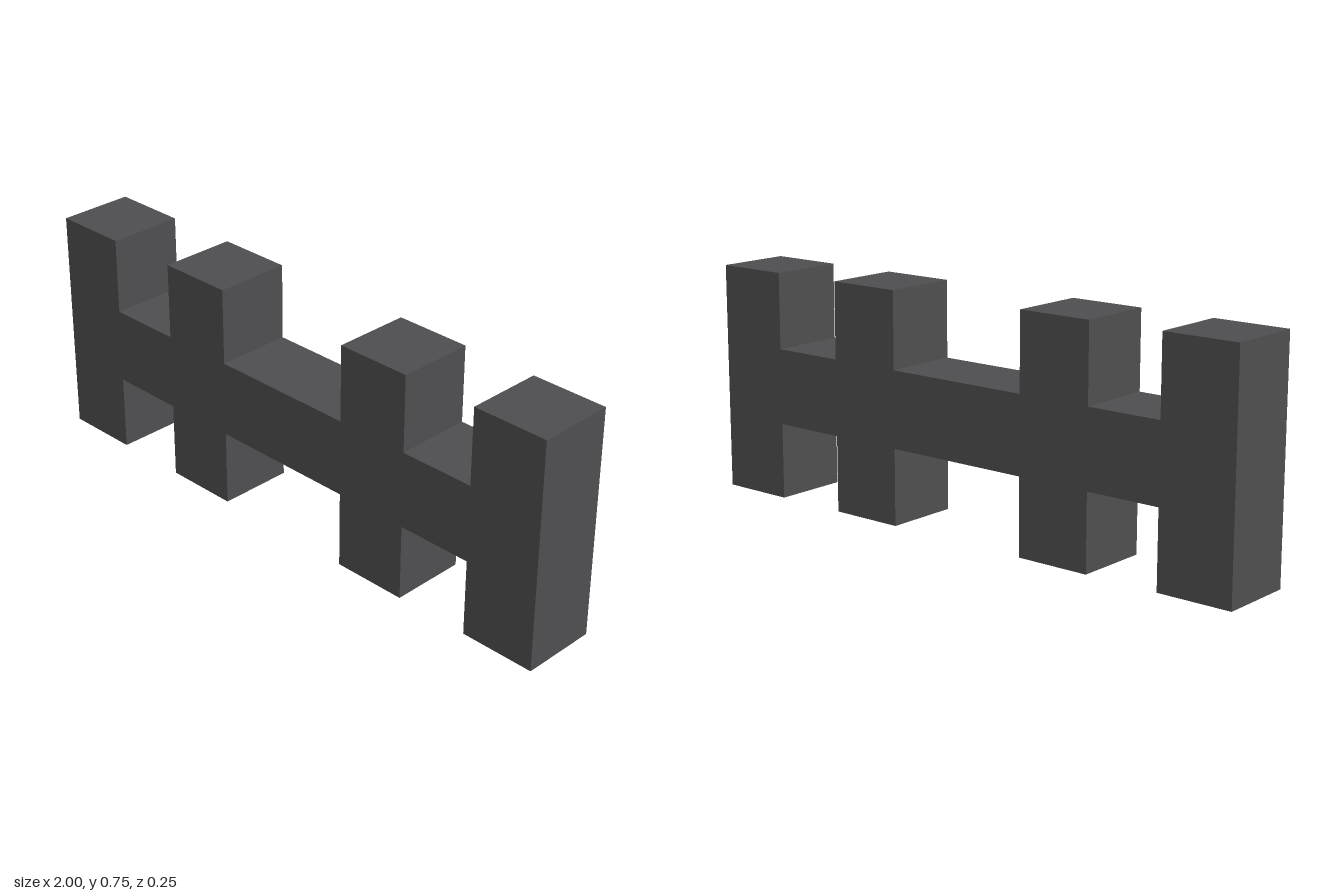
import * as THREE from 'three';

const HEIGHT = 0.75;        // full height of the posts
const BAR = [0.25, 0.5];    // bottom and top of the crossbar
const DEPTH = 0.25;
const POSTS = [[-1, -0.75], [-0.5, -0.25], [0.25, 0.5], [0.75, 1]]; // x ranges

// One continuous outline: along the underside, then back along the top
function barOutline() {
  const lower = [], upper = [];
  POSTS.forEach(([x0, x1], i) => {
    const first = i === 0, last = i === POSTS.length - 1;
    if (!first) { lower.push([x0, BAR[0]]); upper.push([x0, BAR[1]]); }
    lower.push([x0, 0], [x1, 0]);
    upper.push([x0, HEIGHT], [x1, HEIGHT]);
    if (!last) { lower.push([x1, BAR[0]]); upper.push([x1, BAR[1]]); }
  });
  const points = [...lower, ...upper.reverse()];
  return new THREE.Shape(points.map(([x, y]) => new THREE.Vector2(x, y)));
}

export function createModel() {
  const group = new THREE.Group();
  group.name = 'barbell';

  const darkGrey = new THREE.MeshStandardMaterial({ color: 0x4f4f51 });
  darkGrey.name = 'darkGrey';

  // Crossbar with its four square posts, as one solid
  const geometry = new THREE.ExtrudeGeometry(barOutline(), { depth: DEPTH, bevelEnabled: false });
  geometry.translate(0, 0, -DEPTH / 2);
  const body = new THREE.Mesh(geometry, darkGrey);
  body.name = 'crossbarWithPosts';
  group.add(body);

  return group;
}
